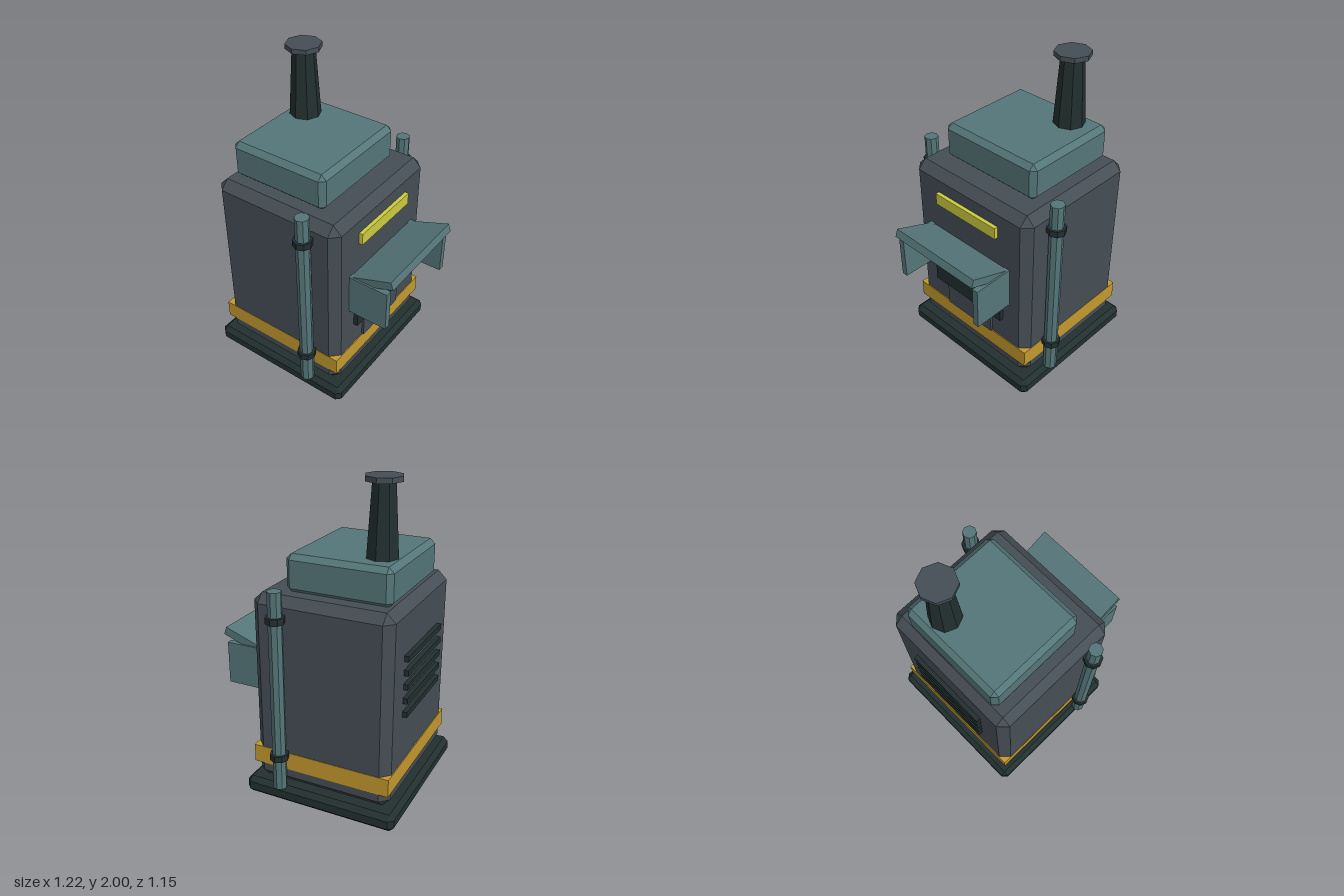
import * as THREE from 'three';
import { ConvexGeometry } from 'three/addons/geometries/ConvexGeometry.js';

const mat = (name, color) => {
  const m = new THREE.MeshStandardMaterial({ color, flatShading: true });
  m.name = name;
  return m;
};

// Box between two corners with every edge cut at 45 degrees
function chamferBox(min, max, c) {
  const points = [];
  const mid = min.map((v, i) => (v + max[i]) / 2);
  const half = min.map((v, i) => (max[i] - v) / 2);
  for (const sx of [-1, 1]) for (const sy of [-1, 1]) for (const sz of [-1, 1])
    for (let full = 0; full < 3; full++) {
      const p = [sx, sy, sz].map((s, i) => mid[i] + s * (half[i] - (i === full ? 0 : c)));
      points.push(new THREE.Vector3(...p));
    }
  return new ConvexGeometry(points);
}

// Plain box between two corners
function box(min, max) {
  const g = new THREE.BoxGeometry(...min.map((v, i) => max[i] - v));
  return g.translate(...min.map((v, i) => (v + max[i]) / 2));
}

// Upright eight-sided cylinder between two heights
function post(x, z, y0, y1, rBottom, rTop = rBottom) {
  return new THREE.CylinderGeometry(rTop, rBottom, y1 - y0, 8).translate(x, (y0 + y1) / 2, z);
}

export function createModel() {
  const model = new THREE.Group();
  model.name = 'furnaceMachine';
  const steel = mat('steelGrey', 0x454e55);
  const teal = mat('teal', 0x557679);
  const dark = mat('darkIron', 0x22302f);
  const gold = mat('goldBand', 0xc49a2e);
  const glow = mat('yellowLight', 0xcccc40);

  const add = (name, geometry, material) => {
    const mesh = new THREE.Mesh(geometry, material);
    mesh.name = name;
    model.add(mesh);
    return mesh;
  };

  // Main housing
  add('base', chamferBox([-0.615, 0, -0.52], [0.375, 0.112, 0.52], 0.03), dark);
  add('body', chamferBox([-0.56, 0.11, -0.472], [0.32, 1.325, 0.472], 0.055), steel);
  add('band', box([-0.566, 0.218, -0.475], [0.326, 0.333, 0.475]), gold);
  add('topHood', chamferBox([-0.505, 1.315, -0.357], [0.152, 1.547, 0.357], 0.032), teal);

  // Chimney
  add('chimney', post(-0.368, -0.166, 1.54, 1.975, 0.098, 0.07), dark);
  add('chimneyCap', post(-0.368, -0.166, 1.97, 2, 0.11), steel);

  // Pipes with clamps on both sides
  for (const side of [-1, 1]) {
    add('sidePipe', post(0.127, side * 0.515, 0.112, 1.38, 0.043), teal);
    for (const y of [0.33, 1.21])
      add('pipeClamp', post(0.127, side * 0.515, y - 0.02, y + 0.02, 0.058), dark);
  }

  // Vent slats
  for (let i = 0; i < 5; i++) {
    const y = 0.66 + i * 0.088;
    add('ventSlat', box([-0.588, y - 0.018, -0.275], [-0.55, y + 0.018, 0.275]), dark);
  }

  // Hatch with cheeks, lintel and sloping awning
  add('lightStrip', box([0.3, 1.11, -0.246], [0.344, 1.187, 0.246]), glow);
  add('hatchOpening', box([0.3, 0.495, -0.286], [0.347, 0.86, 0.286]), dark);
  add('lowerPanel', box([0.3, 0.333, -0.193], [0.335, 0.6, 0.193]), steel);
  add('hatchLintel', box([0.3, 0.857, -0.3], [0.37, 0.882, 0.3]), teal);
  for (const side of [-1, 1])
    add('hatchCheek', box([0.31, 0.65, -0.02], [0.578, 0.92, 0.02]), teal).position.z = side * 0.319;
  const awning = add('awning', box([-0.3, -0.052, -0.328], [0, 0, 0.328]), teal);
  awning.position.set(0.592, 1.014, 0);
  awning.rotation.z = 0.35;

  return model;
}
